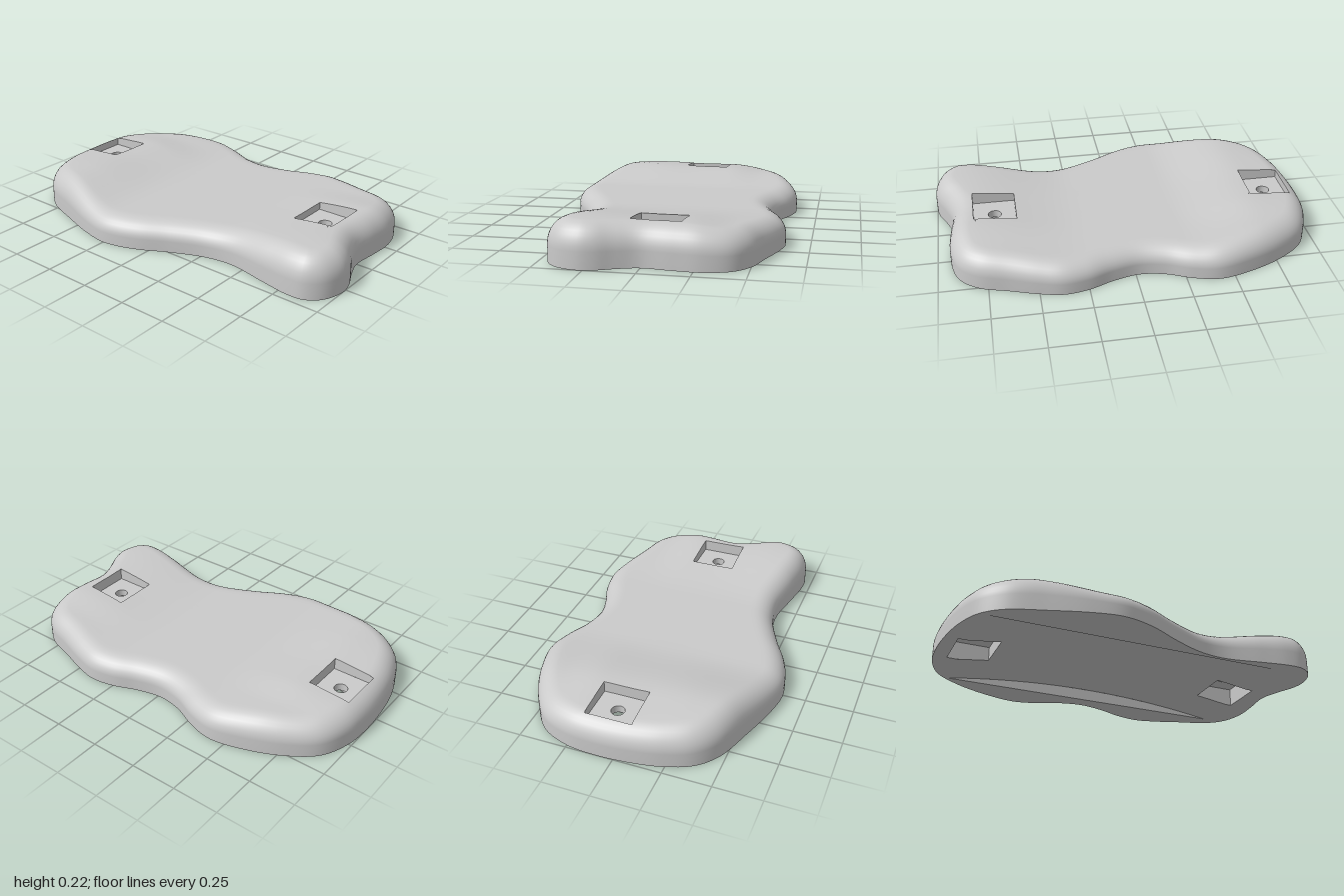
import * as THREE from 'three';
import { mergeVertices } from 'three/addons/utils/BufferGeometryUtils.js';

// Outline seen from above, as x, z pairs
const OUTLINE = [
  -1, -0.1, -0.985, -0.25, -0.92, -0.4, -0.78, -0.51, -0.6, -0.59, -0.42, -0.63, -0.28, -0.6,
  -0.15, -0.545, -0.02, -0.525, 0.12, -0.555, 0.25, -0.605, 0.38, -0.625, 0.5, -0.6, 0.65, -0.55,
  0.8, -0.5, 0.89, -0.42, 0.93, -0.29, 0.925, -0.15, 0.912, 0, 0.947, 0.11, 0.988, 0.2,
  1, 0.28, 0.965, 0.39, 0.89, 0.452, 0.8, 0.46, 0.65, 0.437, 0.43, 0.4, 0.28, 0.42,
  0.1, 0.495, -0.05, 0.575, -0.16, 0.615, -0.26, 0.63, -0.4, 0.607, -0.6, 0.545, -0.8, 0.47,
  -0.9, 0.38, -0.96, 0.24, -0.99, 0.08,
];
const SEG = 240, RIM = 0.11, DROP = 0.6;
const POCKETS = [-0.81, 0.685], POCKET_Z = -0.05, HALF_X = 0.1125, HALF_Z = 0.123;
const FLOOR = 0.14, CEILING = 0.1, HOLE = 0.035;
const ARCH = { x0: -0.86, x1: 0.76, z0: -0.44, z1: 0.38, rise: 0.065 };

const outline = (() => {
  const pts = [];
  for (let i = 0; i < OUTLINE.length; i += 2) pts.push(new THREE.Vector3(OUTLINE[i], 0, OUTLINE[i + 1]));
  return new THREE.CatmullRomCurve3(pts, true).getSpacedPoints(SEG).slice(0, SEG).map((p) => [p.x, p.z]);
})();

// Raised ends, low middle, falling towards the back, rolled off at the rim
function topAt(x, z) {
  const s = THREE.MathUtils.smoothstep;
  const left = 0.065 * (1 - s(x, -0.68, -0.25)) - 0.02 * (1 - s(x, -0.95, -0.65));
  const right = 0.067 * s(x, 0.25, 0.85);
  const back = 0.5 + 0.3 * s(z, -0.42, -0.2) + 0.2 * s(z, -0.05, 0.3);
  let d = Infinity;
  for (const [px, pz] of outline) d = Math.min(d, Math.hypot(px - x, pz - z));
  const k = Math.max(0, 1 - d / RIM);
  return (0.15 + (left + right) * back) * (1 - DROP * (1 - Math.sqrt(1 - k * k)));
}

function archAt(x) {
  const t = (2 * x - ARCH.x0 - ARCH.x1) / (ARCH.x1 - ARCH.x0);
  return Math.max(0, ARCH.rise * (1 - t * t));
}

// Flat triangles filling the outline: parallel rim rings, then rings shrinking to the middle
function fillOutline() {
  const inset = (d) => outline.map(([x, z], i) => {
    const a = outline[(i + SEG - 1) % SEG], b = outline[(i + 1) % SEG];
    const tx = b[0] - a[0], tz = b[1] - a[1], l = Math.hypot(tx, tz);
    return [x - (tz / l) * d, z + (tx / l) * d];
  });
  const rings = [];
  for (let i = 0; i <= 8; i++) rings.push(inset(RIM * (1 - Math.cos((i / 8) * Math.PI / 2))));
  const inner = rings[8];
  for (let i = 1; i <= 18; i++) rings.push(inner.map(([x, z]) => [x * (1 - i / 18), z * (1 - i / 18)]));
  const tris = [];
  for (let r = 0; r < rings.length - 1; r++) {
    for (let j = 0; j < SEG; j++) {
      const k = (j + 1) % SEG, [a, b] = [rings[r], rings[r + 1]];
      tris.push([a[k], a[j], b[j]]);
      if (r < rings.length - 2) tris.push([a[k], b[j], b[k]]);
    }
  }
  return tris;
}

// Part of a polygon where sign * (coordinate - v) >= 0
function clip(poly, axis, v, sign) {
  const out = [];
  poly.forEach((p, i) => {
    const q = poly[(i + 1) % poly.length];
    const a = sign * (p[axis] - v), b = sign * (q[axis] - v);
    if (a >= 0) out.push(p);
    if ((a > 0 && b < 0) || (a < 0 && b > 0)) {
      const t = a / (a - b);
      out.push([p[0] + (q[0] - p[0]) * t, p[1] + (q[1] - p[1]) * t]);
    }
  });
  return out;
}

// Split triangles into those inside and outside a rectangle, leaving untouched ones whole
function carve(tris, x0, x1, z0, z1) {
  const inside = [], outside = [];
  const fan = (poly, list) => {
    for (let i = 2; i < poly.length; i++) list.push([poly[0], poly[i - 1], poly[i]]);
  };
  for (const tri of tris) {
    const cut = [];
    let rest = tri;
    for (const [axis, v, sign] of [[0, x0, 1], [0, x1, -1], [1, z0, 1], [1, z1, -1]]) {
      fan(clip(rest, axis, v, -sign), cut);
      rest = clip(rest, axis, v, sign);
    }
    if (rest.length > 2) outside.push(...cut);
    else outside.push(tri);
    fan(rest, inside);
  }
  return { inside, outside };
}

const cutPockets = (tris) => POCKETS.reduce(
  (t, x) => carve(t, x - HALF_X, x + HALF_X, POCKET_Z - HALF_Z, POCKET_Z + HALF_Z).outside, tris);

function toGeometry(positions, smooth) {
  let g = new THREE.BufferGeometry();
  g.setAttribute('position', new THREE.Float32BufferAttribute(positions, 3));
  if (smooth) g = mergeVertices(g, 1e-5);
  g.computeVertexNormals();
  return g;
}

function surface(tris, height, flip) {
  const pos = [];
  for (const t of tris) for (const [x, z] of flip ? [t[0], t[2], t[1]] : t) pos.push(x, height(x, z), z);
  return pos;
}

// Upright wall along a path, between two height rules
function wall(path, low, high) {
  const pos = [];
  for (let i = 0; i < path.length - 1; i++) {
    const [a, b] = [path[i], path[i + 1]];
    const [al, bl, ah, bh] = [low(...a), low(...b), high(...a), high(...b)];
    pos.push(a[0], al, a[1], a[0], ah, a[1], b[0], bl, b[1]);
    pos.push(b[0], bl, b[1], a[0], ah, a[1], b[0], bh, b[1]);
  }
  return pos;
}

function line(a, b, n) {
  return Array.from({ length: n + 1 }, (_, i) => [a[0] + (b[0] - a[0]) * i / n, a[1] + (b[1] - a[1]) * i / n]);
}

export function createModel() {
  const group = new THREE.Group();
  const grey = new THREE.MeshStandardMaterial({ color: 0xcacaca, side: THREE.DoubleSide });
  grey.name = 'grey';
  const add = (name, geometry) => {
    const mesh = new THREE.Mesh(geometry, grey);
    mesh.name = name;
    group.add(mesh);
  };
  const fill = fillOutline();

  // Rounded top and outer side
  const side = wall([...outline, outline[0]], () => 0, topAt);
  add('topAndSide', toGeometry([...surface(cutPockets(fill), topAt), ...side], true));

  // Flat underside with a shallow arched recess
  const { inside, outside } = carve(fill, ARCH.x0, ARCH.x1, ARCH.z0, ARCH.z1);
  add('underside', toGeometry(surface(cutPockets(outside), () => 0, true), true));
  add('archCeiling', toGeometry(surface(cutPockets(inside), archAt, true), true));
  add('archWalls', toGeometry([
    ...wall(line([ARCH.x1, ARCH.z0], [ARCH.x0, ARCH.z0], 32), () => 0, archAt),
    ...wall(line([ARCH.x0, ARCH.z1], [ARCH.x1, ARCH.z1], 32), () => 0, archAt),
  ], false));

  // Square pockets above and below a thin plate with a round hole
  for (const x of POCKETS) {
    const corners = [[-1, -1], [-1, 1], [1, 1], [1, -1], [-1, -1]].map(([i, j]) => [x + i * HALF_X, POCKET_Z + j * HALF_Z]);
    const walls = [];
    for (let i = 0; i < 4; i++) {
      const path = line(corners[i], corners[i + 1], 8);
      walls.push(...wall(path, () => FLOOR, topAt), ...wall(path, archAt, () => CEILING));
    }
    add('pocketWalls', toGeometry(walls, false));

    const shape = new THREE.Shape([[-1, -1], [1, -1], [1, 1], [-1, 1]].map(([i, j]) => new THREE.Vector2(i * HALF_X, j * HALF_Z)));
    shape.holes.push(new THREE.Path().absarc(0, 0, HOLE, 0, Math.PI * 2, true));
    const plate = new THREE.ExtrudeGeometry(shape, { depth: FLOOR - CEILING, bevelEnabled: false, curveSegments: 24 });
    add('pocketFloor', plate.rotateX(-Math.PI / 2).translate(x, CEILING, POCKET_Z));
  }
  return group;
}
